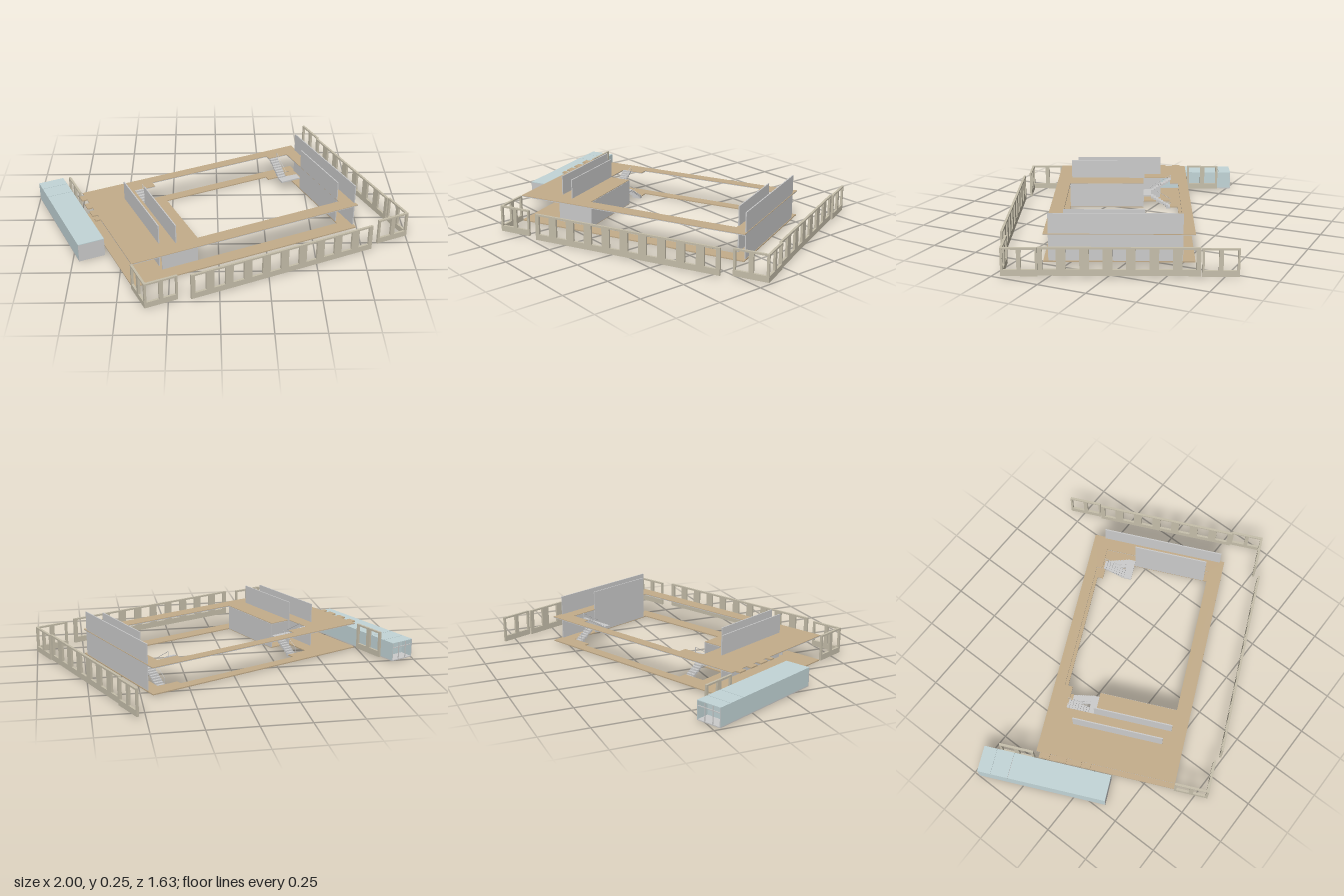
import * as THREE from 'three';

const mat = (color) => new THREE.MeshStandardMaterial({ color });
const GREY = mat(0xcccccc), BROWN = mat(0xc4ad8a), STONE = mat(0xc6bfab), GLASS = mat(0xc2d5d7);
GLASS.side = THREE.DoubleSide;

export function createModel() {
  const model = new THREE.Group();
  model.name = 'courtyardBuilding';
  // Everything is laid out square, then turned as a whole
  const plan = new THREE.Group();
  plan.name = 'plan';
  plan.rotation.y = 0.424;
  model.add(plan);

  const add = (name, geometry, material, parent = plan) => {
    const mesh = new THREE.Mesh(geometry, material);
    mesh.name = name;
    parent.add(mesh);
    return mesh;
  };
  const group = (name) => {
    const g = new THREE.Group();
    g.name = name;
    plan.add(g);
    return g;
  };
  // Box from its limits
  const box = (name, x0, x1, y0, y1, z0, z1, material = GREY, parent = plan) =>
    add(name, new THREE.BoxGeometry(x1 - x0, y1 - y0, z1 - z0), material, parent)
      .position.set((x0 + x1) / 2, (y0 + y1) / 2, (z0 + z1) / 2);
  const vectors = (pts) => pts.map(([a, b]) => new THREE.Vector2(a, b));

  // Ring-shaped floors around the courtyard, with a notch for the left stairwell
  const outline = [[-0.655, -0.33], [0.633, -0.33], [0.633, 0.41], [-0.655, 0.41]];
  const court = [[-0.27, -0.276], [0.442, -0.276], [0.442, -0.245], [0.558, -0.245],
    [0.558, 0.336], [-0.27, 0.336], [-0.27, -0.08], [-0.39, -0.08], [-0.39, -0.232], [-0.27, -0.232]];
  const slab = (name, top, thick, material) => {
    const shape = new THREE.Shape(vectors(outline));
    shape.holes.push(new THREE.Path(vectors(court)));
    const g = new THREE.ExtrudeGeometry(shape, { depth: thick, bevelEnabled: false });
    add(name, g.rotateX(Math.PI / 2), material).position.y = top;
  };
  slab('groundFloor', 0.014, 0.006, BROWN);
  slab('upperFloor', 0.152, 0.003, BROWN);
  slab('ceiling', 0.149, 0.004, GREY);

  // Short bridges from the upper floor towards the annex
  for (const [z0, z1] of [[-0.3, -0.255], [-0.215, -0.165], [-0.135, -0.085], [-0.06, -0.035]])
    box('bridge', -0.682, -0.655, 0.145, 0.152, z0, z1, BROWN);

  // Tall partition walls through both storeys
  for (const [x, z0, z1] of [[-0.466, -0.18, 0.3], [-0.387, -0.085, 0.333],
    [0.561, -0.083, 0.315], [0.627, -0.27, 0.385]])
    box('tallWall', x - 0.003, x + 0.003, 0.012, 0.255, z0, z1);
  // Lower walls of the left core
  box('coreWall', -0.273, -0.268, 0.012, 0.148, -0.08, 0.336);
  box('coreEndWall', -0.466, -0.268, 0.012, 0.148, 0.331, 0.336);

  // Two-flight staircases with a half landing and a rail
  const stairs = (name, x0) => {
    const g = group(name);
    const x1 = x0 + 0.116, n = 8, run = 0.112 / n, rise = 0.07 / n;
    box('landing', x0, x1, 0.074, 0.082, -0.124, -0.081, GREY, g);
    for (let i = 0; i < n; i++) {
      const near = -0.124 - i * run, up = 0.082 + (i + 1) * rise, down = 0.082 - (i + 1) * rise;
      box('upperStep', x0, x0 + 0.047, up - 0.012, up, near - run, near, GREY, g);
      box('lowerStep', x1 - 0.047, x1, down - 0.012, down, near - run, near, GREY, g);
    }
    box('stairFoot', x1 - 0.047, x1, 0, 0.012, -0.236, -0.21, GREY, g);
    for (const [x, endY] of [[x0 + 0.046, 0.18], [x1 - 0.046, 0.045]]) {
      const path = new THREE.LineCurve3(new THREE.Vector3(x, 0.112, -0.122), new THREE.Vector3(x, endY, -0.236));
      add('handrail', new THREE.TubeGeometry(path, 1, 0.0012, 6), GREY, g);
      box('railPost', x - 0.001, x + 0.001, endY - 0.035, endY, -0.237, -0.235, GREY, g);
    }
  };
  stairs('leftStairs', -0.388);
  stairs('rightStairs', 0.442);

  // Window facade panels standing clear of the floors
  const facade = (name, along, at, from, to, count, win) => {
    const length = to - from, bay = length / count, y0 = 0.01, y1 = 0.15;
    const shape = new THREE.Shape(vectors([[0, y0], [length, y0], [length, y1], [0, y1]]));
    for (let i = 0; i < count; i++) {
      const a = bay * (i + 0.5) - win / 2, b = a + win;
      shape.holes.push(new THREE.Path(vectors([[a, 0.041], [a, 0.141], [b, 0.141], [b, 0.041]])));
    }
    const g = new THREE.ExtrudeGeometry(shape, { depth: 0.012, bevelEnabled: false });
    g.translate(0, 0, -0.006);
    if (along === 'z') g.rotateY(-Math.PI / 2);
    const m = add(name, g, STONE);
    if (along === 'z') m.position.set(at, 0, from);
    else m.position.set(from, 0, at);
  };
  facade('sideFacade', 'z', 0.818, -0.345, 0.418, 7, 0.064);
  facade('frontFacade', 'x', 0.614, -0.431, 0.596, 10, 0.06);
  facade('backSideCornerPanel', 'z', 0.828, -0.526, -0.35, 2, 0.066);
  facade('frontSideCornerPanel', 'z', 0.826, 0.418, 0.592, 2, 0.066);
  facade('frontCornerPanel', 'x', 0.586, 0.65, 0.831, 2, 0.066);
  facade('frontCornerPanel', 'x', 0.586, -0.663, -0.489, 2, 0.066);
  facade('farCornerPanel', 'z', -0.658, 0.411, 0.591, 2, 0.066);
  facade('farBackCornerPanel', 'z', -0.663, -0.53, -0.345, 2, 0.066);

  // Long annex: closed sides and roof, recessed framed entrance at the back
  const annex = group('annex');
  const [ax0, ax1, az0, az1] = [-0.82, -0.68, -0.61, 0.077];
  box('annexFloor', ax0, ax1, 0.005, 0.01, az0, az1, GREY, annex);
  box('annexEndWall', ax0, ax1, 0.01, 0.102, az1 - 0.004, az1, GREY, annex);
  box('annexInnerWall', ax0, ax1, 0.01, 0.102, -0.54, -0.536, GLASS, annex);
  for (const x of [ax0, ax1 - 0.004]) box('annexSideWall', x, x + 0.004, 0.01, 0.102, az0, az1, GLASS, annex);
  for (const [z0, z1] of [[az0, -0.54], [-0.537, -0.447], [-0.444, az1]])
    box('annexRoof', ax0, ax1, 0.102, 0.106, z0, z1, GLASS, annex);
  for (const x of [ax0, -0.776, -0.728, ax1 - 0.004])
    box('entrancePost', x, x + 0.004, 0.01, 0.102, az0, az0 + 0.004, GREY, annex);
  box('entranceBeam', ax0, ax1, 0.076, 0.08, az0, az0 + 0.004, GREY, annex);

  return model;
}
